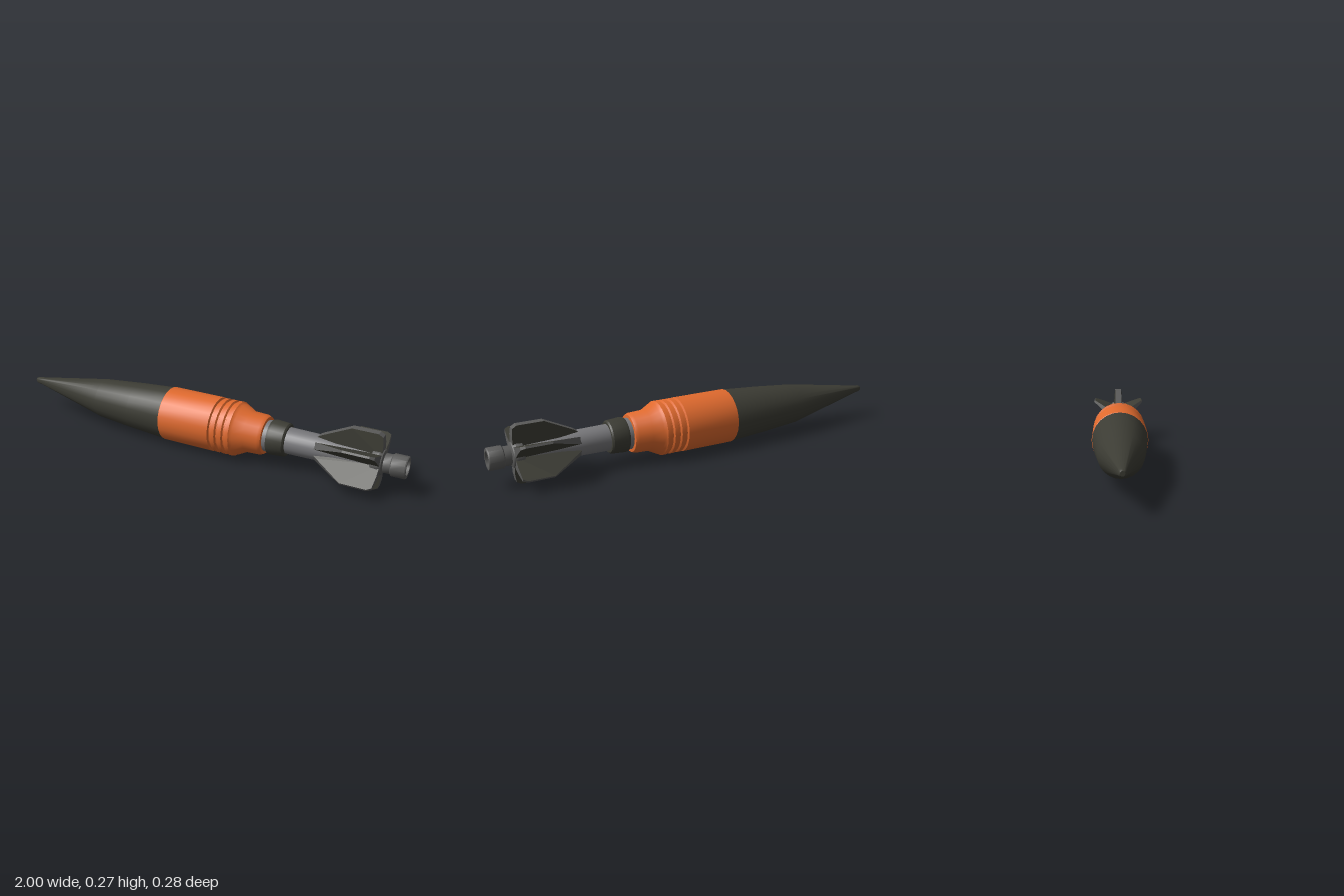
import * as THREE from 'three';
import { toCreasedNormals } from 'three/addons/utils/BufferGeometryUtils.js';

const AXIS_Y = 0.136;

const mat = (name, color, side = THREE.FrontSide) => {
  const m = new THREE.MeshStandardMaterial({ color, side });
  m.name = name;
  return m;
};

// Turned part along x; profile is a list of [x, radius]
function turned(name, profile, material, sides = 24) {
  const points = profile.map(([x, r]) => new THREE.Vector2(r, x));
  const raw = new THREE.LatheGeometry(points, sides);
  raw.rotateZ(-Math.PI / 2);
  const mesh = new THREE.Mesh(toCreasedNormals(raw, 0.6), material);
  mesh.name = name;
  return mesh;
}

// Fin plate standing along +y, thinner towards its tip
function finGeometry(tip, rootHalf, tipHalf) {
  const shape = new THREE.Shape([
    [0.56, 0.035], [0.61, 0.07], [0.745, tip], [0.865, tip],
    [0.885, tip - 0.012], [0.89, 0.09], [0.89, 0.035],
  ].map(([x, r]) => new THREE.Vector2(x, r)));
  const geo = new THREE.ExtrudeGeometry(shape, { depth: 2, bevelEnabled: false });
  geo.translate(0, 0, -1);
  const p = geo.attributes.position;
  for (let i = 0; i < p.count; i++) {
    const t = (p.getY(i) - 0.035) / (tip - 0.035);
    const front = THREE.MathUtils.smoothstep(p.getX(i), 0.54, 0.75);
    const half = THREE.MathUtils.lerp(rootHalf, tipHalf, t) * (0.6 + 0.4 * front);
    p.setZ(i, p.getZ(i) * half);
  }
  geo.computeVertexNormals();
  return geo;
}

export function createModel() {
  const olive = mat('dark olive', 0x3c3c34);
  const orange = mat('orange', 0xe06a2e);
  const steel = mat('light steel', 0x77777a, THREE.DoubleSide);
  const iron = mat('iron grey', 0x5a5a59);

  const model = new THREE.Group();
  model.name = 'finnedShell';
  const body = new THREE.Group();
  body.name = 'body';
  body.position.y = AXIS_Y;
  model.add(body);

  // Pointed nose, its tip raised slightly
  const nose = turned('nose', [
    [-1, 0], [-1, 0.01], [-0.99, 0.016], [-0.96, 0.02],
    [-0.56, 0.098], [-0.36, 0.116], [-0.17, 0.129],
  ], olive);
  const p = nose.geometry.attributes.position;
  for (let i = 0; i < p.count; i++) {
    const forward = Math.max(0, -0.56 - p.getX(i)) / 0.44;
    p.setY(i, p.getY(i) + 0.016 * forward);
  }
  body.add(nose);

  // Orange casing with three raised bands
  const casing = [[-0.175, 0.126], [-0.17, 0.131], [0.095, 0.131]];
  for (let i = 0; i < 3; i++) {
    const x = 0.1 + i * 0.036;
    casing.push([x, 0.122], [x + 0.006, 0.122], [x + 0.01, 0.13], [x + 0.03, 0.13]);
  }
  casing.push([0.208, 0.124], [0.218, 0.121], [0.262, 0.098], [0.33, 0.095], [0.345, 0.088], [0.348, 0.06]);
  body.add(turned('casing', casing, orange));

  // Neck ring and dark collar
  body.add(turned('neckRing', [[0.34, 0.06], [0.342, 0.074], [0.375, 0.074]], steel));
  body.add(turned('collar', [
    [0.365, 0.06], [0.367, 0.08], [0.38, 0.083], [0.445, 0.078], [0.452, 0.072], [0.453, 0.05],
  ], olive));

  // Tail boom narrowing between the fins
  body.add(turned('tailBoom', [[0.44, 0.062], [0.6, 0.06], [0.68, 0.052], [0.86, 0.05]], steel));

  // Rear hub and hollow end tube
  body.add(turned('rearHub', [
    [0.84, 0.045], [0.85, 0.062], [0.88, 0.064], [0.895, 0.056], [0.9, 0.044], [0.93, 0.044],
    [0.935, 0.051], [0.995, 0.051], [1, 0.048], [1, 0.036], [0.93, 0.034], [0.93, 0],
  ], iron, 12));

  // Six fins: thick upright pair, longer tapered side fins
  const upright = finGeometry(0.136, 0.026, 0.017);
  const slanted = finGeometry(0.157, 0.028, 0.005);
  for (let i = 0; i < 6; i++) {
    const fin = new THREE.Mesh(i % 3 === 0 ? upright : slanted, [olive, iron]);
    fin.name = 'fin' + (i + 1);
    fin.rotation.x = i * Math.PI / 3;
    body.add(fin);
  }
  return model;
}
